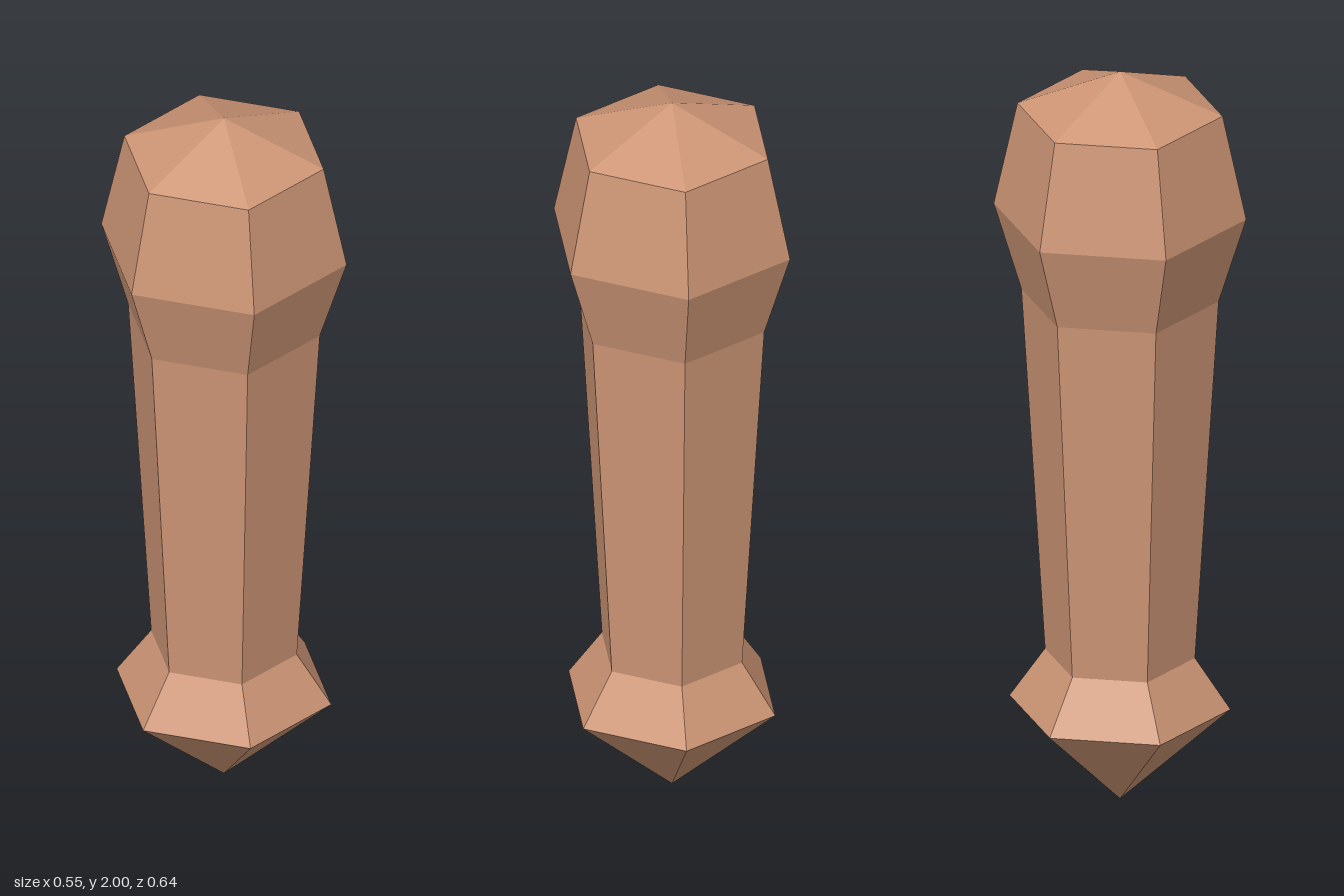
import * as THREE from 'three';

const SIDES = 6;

export function createModel() {
  const group = new THREE.Group();
  group.name = 'facetedClub';
  const material = new THREE.MeshStandardMaterial({ color: 0xcd9575, flatShading: true });

  // Hexagonal section turned from [radius, height] points, bottom to top
  const addSection = (name, profile) => {
    const points = profile.map(([r, y]) => new THREE.Vector2(r, y));
    const mesh = new THREE.Mesh(new THREE.LatheGeometry(points, SIDES), material);
    mesh.name = name;
    group.add(mesh);
  };

  // Pointed pommel, flaring out and back in to the grip
  addSection('pommel', [[0, 0], [0.28, 0.265], [0.19, 0.4]]);
  // Long shaft, widening upwards
  addSection('shaft', [[0.19, 0.4], [0.25, 1.385]]);
  // Bulging head with a shallow pyramid cap
  addSection('head', [[0.25, 1.385], [0.32, 1.615], [0.26, 1.895], [0, 2]]);

  return group;
}
